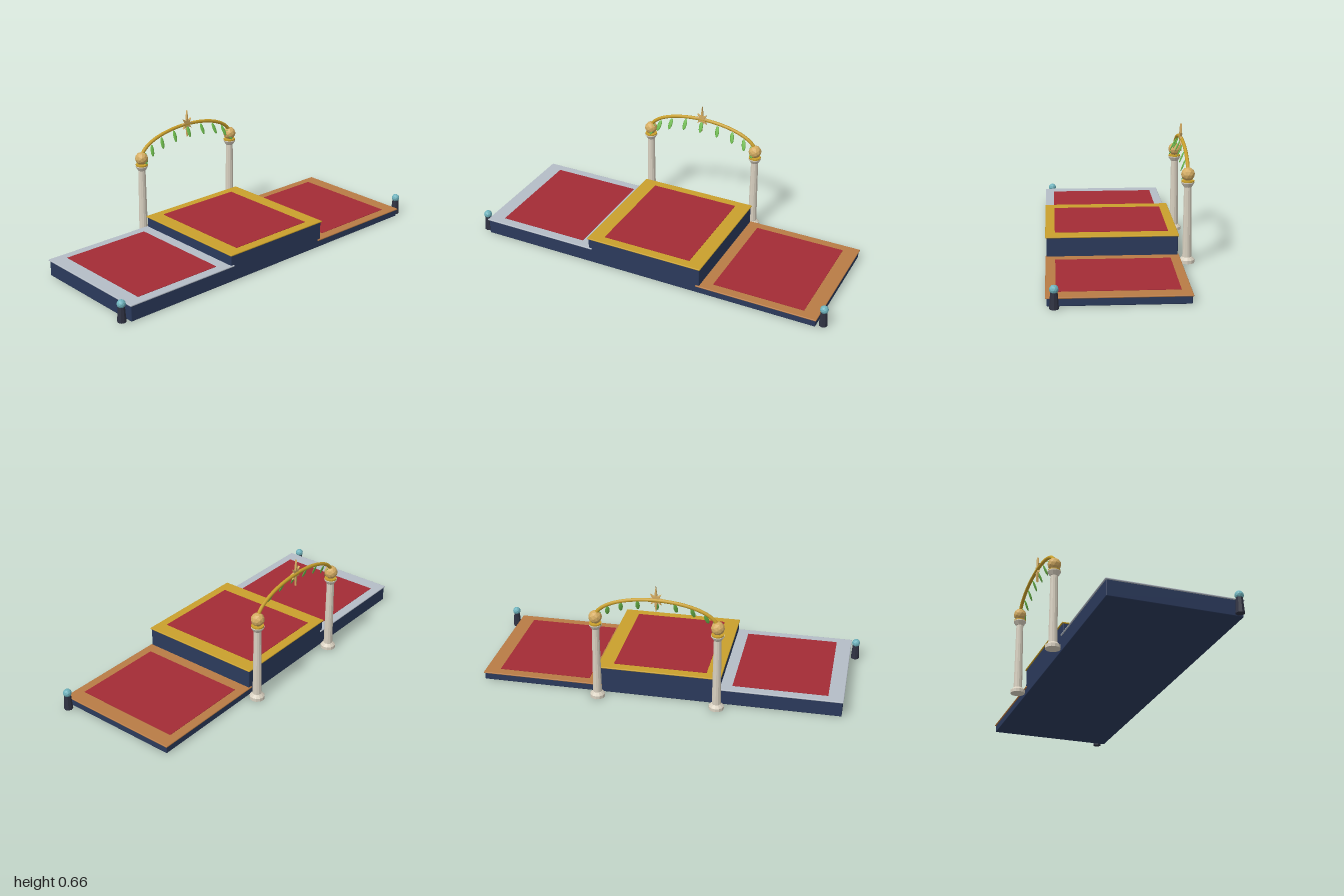
import * as THREE from 'three';
import { RoundedBoxGeometry } from 'three/addons/geometries/RoundedBoxGeometry.js';

export function createModel() {
  const root = new THREE.Group();
  root.name = 'winnersPodium';

  const paint = (name, color, flatShading = false) => {
    const m = new THREE.MeshStandardMaterial({ color, flatShading });
    m.name = name;
    return m;
  };
  const navy = paint('navy', 0x2b3a5c);
  const carpetRed = paint('carpetRed', 0xa32b35);
  const gold = paint('gold', 0xc9a02c);
  const silver = paint('silver', 0xb4bcc6);
  const bronze = paint('bronze', 0xb87b45);
  const stone = paint('stone', 0xd8d0c0, true);
  const paleGold = paint('paleGold', 0xd4ac62, true);
  const leafGreen = paint('leafGreen', 0x6dbb4c);
  const slate = paint('slate', 0x2f3242, true);
  const teal = paint('teal', 0x6fb3bd, true);

  const add = (parent, name, geometry, material, x = 0, y = 0, z = 0) => {
    const mesh = new THREE.Mesh(geometry, material);
    mesh.name = name;
    mesh.position.set(x, y, z);
    parent.add(mesh);
    return mesh;
  };

  // Three steps, each a block with a rounded metal lip and a carpet
  const stepZ = 0.04;
  const steps = [
    ['secondStep', -0.625, 0.084, silver],
    ['firstStep', 0, 0.144, gold],
    ['thirdStep', 0.625, 0.0405, bronze],
  ];
  for (const [name, x, h, metal] of steps) {
    const step = new THREE.Group();
    step.name = name;
    step.position.set(x, 0, stepZ);
    root.add(step);
    add(step, 'block', new RoundedBoxGeometry(0.64, h, 0.666, 2, 0.004), navy, 0, h / 2);
    add(step, 'lip', new RoundedBoxGeometry(0.65, 0.008, 0.678, 2, 0.0038), metal, 0, h);
    add(step, 'carpet', new THREE.BoxGeometry(0.49, 0.004, 0.58), carpetRed, 0, h + 0.0037);
  }

  // Columns behind the top step, and lamp posts at the front corners
  const archZ = -0.34;
  const columnX = 0.3125;
  const columnProfile = [
    [0, 0], [0.039, 0], [0.039, 0.017], [0.026, 0.03], [0.0235, 0.031],
    [0.0195, 0.395], [0.022, 0.398], [0.034, 0.417], [0.034, 0.422], [0, 0.422],
  ].map(([r, y]) => new THREE.Vector2(r, y));
  for (const side of [-1, 1]) {
    const label = side > 0 ? 'left' : 'right';
    const column = new THREE.Group();
    column.name = label + 'Column';
    column.position.set(side * columnX, 0, archZ);
    root.add(column);
    add(column, 'shaft', new THREE.LatheGeometry(columnProfile, 12), stone);
    add(column, 'collar', new THREE.CylinderGeometry(0.032, 0.032, 0.008, 16), gold, 0, 0.425);
    add(column, 'finial', new THREE.IcosahedronGeometry(0.035, 1), paleGold, 0, 0.461);

    const post = new THREE.Group();
    post.name = label + 'LampPost';
    post.position.set(side * 0.975, 0, 0.339);
    root.add(post);
    add(post, 'post', new THREE.CylinderGeometry(0.017, 0.0225, 0.08, 8), slate, 0, 0.04);
    add(post, 'lamp', new THREE.IcosahedronGeometry(0.022, 1), teal, 0, 0.092);
  }

  // Half-elliptical arch
  const baseY = 0.461, rise = 0.122;
  const archPoint = (t) => new THREE.Vector3(columnX * Math.cos(t), baseY + rise * Math.sin(t), archZ);
  const points = [];
  for (let i = 0; i <= 20; i++) points.push(archPoint((i / 20) * Math.PI));
  add(root, 'arch', new THREE.TubeGeometry(new THREE.CatmullRomCurve3(points), 48, 0.0095, 8), gold);

  // Leaves hanging from the front of the arch
  const leafGeometry = new THREE.SphereGeometry(1, 8, 6);
  leafGeometry.scale(0.0115, 0.032, 0.004);
  for (let i = 1; i < 10; i++) {
    const p = archPoint((i / 10) * Math.PI);
    const leaf = add(root, 'leaf', leafGeometry, leafGreen, p.x, p.y - 0.038, archZ + 0.018);
    leaf.rotation.set(-0.42, 0, Math.cos((i / 10) * Math.PI) * 0.25);
  }

  // Eight-pointed star at the crown, longest up and down
  const starShape = new THREE.Shape();
  for (let i = 0; i < 16; i++) {
    const a = (i / 16) * Math.PI * 2;
    const r = i % 2 ? 0.017 : i % 8 === 4 ? 0.072 : i % 4 === 0 ? 0.044 : 0.037;
    const x = r * Math.cos(a), y = r * Math.sin(a);
    if (i) starShape.lineTo(x, y);
    else starShape.moveTo(x, y);
  }
  starShape.closePath();
  const starGeometry = new THREE.ExtrudeGeometry(starShape, {
    depth: 0.007, bevelThickness: 0.002, bevelSize: 0.0015, bevelSegments: 1,
  });
  starGeometry.translate(0, 0, -0.0035);
  add(root, 'star', starGeometry, paleGold, 0, 0.587, archZ + 0.003);

  return root;
}
